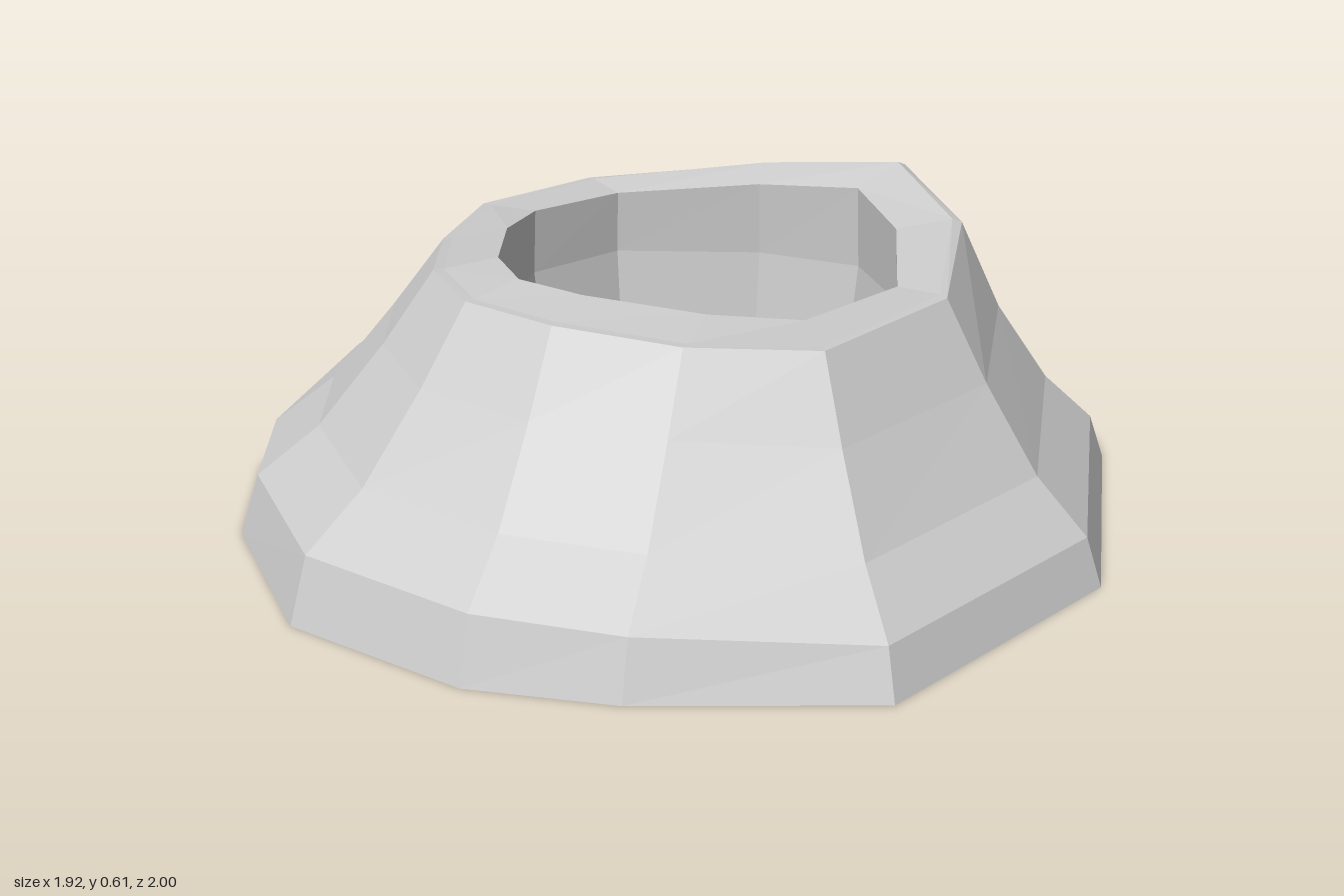
import * as THREE from 'three';

// Twelve columns, clockwise from the back: [x, z] on the ground
const base = [[0.04, -1], [0.53, -0.8], [0.92, -0.32], [0.96, 0.31], [0.64, 0.69], [0.4, 0.88],
  [0, 1], [-0.4, 0.88], [-0.65, 0.69], [-0.96, 0.27], [-0.92, -0.24], [-0.46, -0.76]];
// [x, y, z] of the outer and inner edges of the rim
const rim = [[0.02, 0.6, -0.65], [0.31, 0.565, -0.53], [0.54, 0.53, -0.24], [0.57, 0.525, 0.13],
  [0.4, 0.535, 0.34], [0.2, 0.56, 0.5], [0, 0.565, 0.56], [-0.2, 0.56, 0.5], [-0.4, 0.535, 0.34],
  [-0.56, 0.525, 0.12], [-0.54, 0.53, -0.17], [-0.27, 0.565, -0.49]];
const mouth = [[0.01, 0.57, -0.51], [0.22, 0.55, -0.42], [0.42, 0.525, -0.22], [0.44, 0.53, 0.06],
  [0.33, 0.55, 0.22], [0.14, 0.575, 0.38], [0, 0.58, 0.43], [-0.14, 0.575, 0.38], [-0.33, 0.55, 0.22],
  [-0.43, 0.53, 0.07], [-0.42, 0.525, -0.16], [-0.2, 0.55, -0.4]];
const frontLift = [0, 0, 0, 0, 0.02, 0.035, 0.04, 0.035, 0.02, 0, 0, 0];

const material = new THREE.MeshStandardMaterial({
  color: 0xcccccc, flatShading: true, side: THREE.DoubleSide,
});

// Skins a stack of closed rings; an optional cap closes the last one
function skin(name, rings, cap = false) {
  const n = rings[0].length;
  const points = rings.flat();
  const index = [];
  for (let r = 0; r < rings.length - 1; r++) {
    for (let i = 0; i < n; i++) {
      const a = r * n + i, b = r * n + (i + 1) % n;
      index.push(a, a + n, b, b, a + n, b + n);
    }
  }
  if (cap) {
    const last = (rings.length - 1) * n;
    for (let i = 1; i < n - 1; i++) index.push(last, last + i + 1, last + i);
  }
  const indexed = new THREE.BufferGeometry();
  indexed.setAttribute('position', new THREE.Float32BufferAttribute(points.flat(), 3));
  indexed.setIndex(index);
  const geometry = indexed.toNonIndexed();
  geometry.computeVertexNormals();
  const mesh = new THREE.Mesh(geometry, material);
  mesh.name = name;
  return mesh;
}

// Ring on the flank: t runs from the ground to the rim
const flankRing = (t, y) => base.map(([x, z], i) => [
  x + (rim[i][0] - x) * t, y + (y > 0 ? frontLift[i] : 0), z + (rim[i][2] - z) * t,
]);

// Ring inside the crater
const pitRing = (scale, y) => mouth.map(([x, , z]) => [x * scale, y, z * scale]);

export function createModel() {
  const group = new THREE.Group();
  group.name = 'crater';

  // Narrow bevel just inside the outer edge, highest at the back
  const lip = rim.map((p, i) => [
    p[0] + (mouth[i][0] - p[0]) * 0.15,
    p[1] + 0.015 * Math.max(0, -p[2]),
    p[2] + (mouth[i][2] - p[2]) * 0.15,
  ]);

  group.add(
    skin('outerSlope', [flankRing(0, 0), flankRing(0.1, 0.1), flankRing(0.41, 0.2), flankRing(0.74, 0.37), rim]),
    skin('rim', [rim, lip, mouth]),
    skin('craterPit', [mouth, pitRing(1.02, 0.38), pitRing(0.98, 0.22)], true),
  );
  return group;
}
